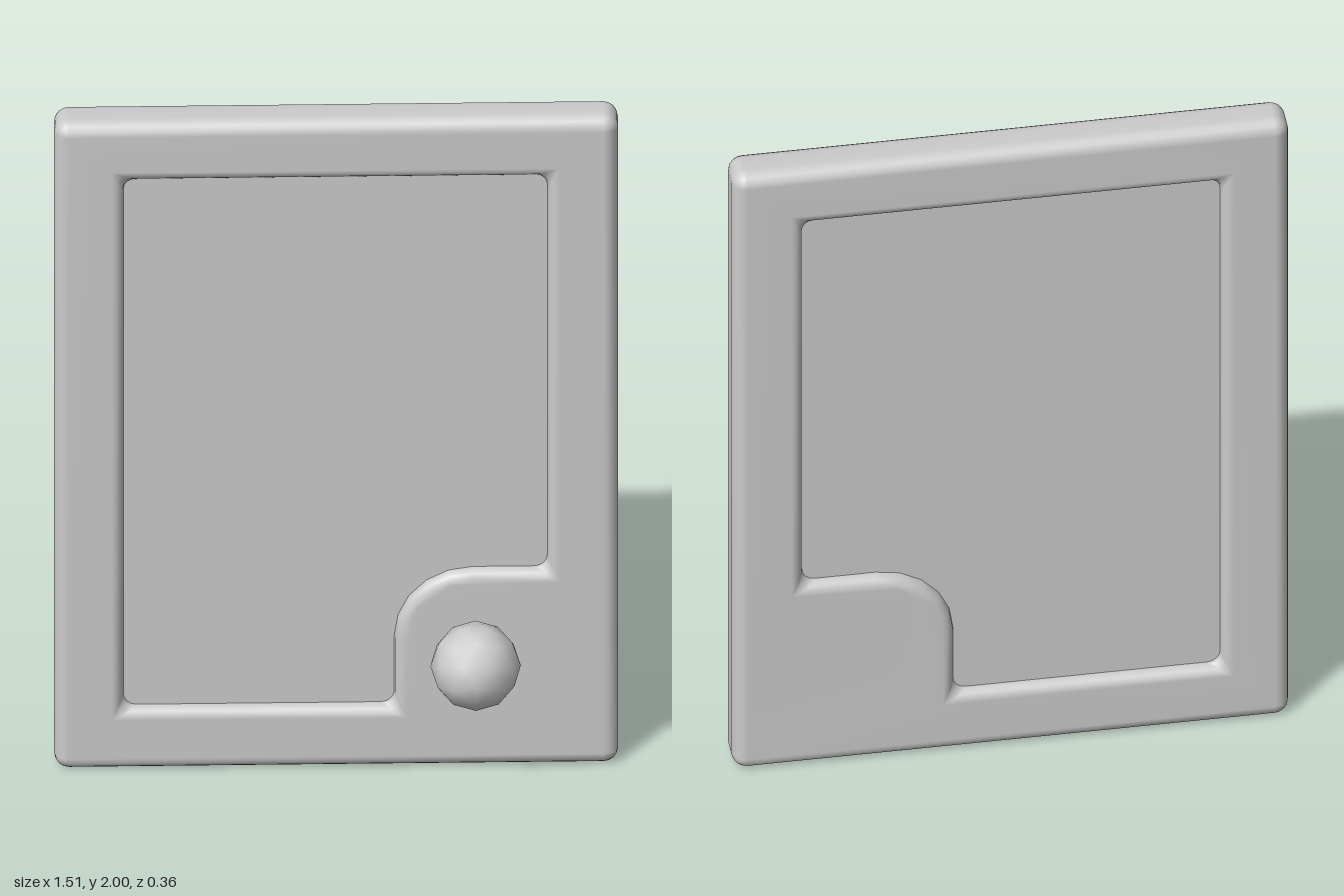
import * as THREE from 'three';
import { mergeGeometries, mergeVertices } from 'three/addons/utils/BufferGeometryUtils.js';

const HALF_DEPTH = 0.065, BEVEL = 0.04, ARC = 4, ROUND = 4;

// Rounded corner: an arc at mid depth that closes to one sharp point on the face.
function corner(x, y, sx, sy, r, shift) {
  const face = [x + sx * shift, y + sy * shift], pts = [];
  const mid = Math.atan2(sy, sx);
  for (let i = 0; i <= ARC; i++) {
    const a = mid + (i / ARC - 0.5) * Math.PI / 2;
    pts.push({ core: [x - sx * r + r * Math.cos(a), y - sy * r + r * Math.sin(a)], face });
  }
  return pts;
}

// Quarter-circle edge of the corner plate, running clockwise into the opening.
function plateArc(cx, cy, r, shift) {
  const pts = [];
  for (let i = 0; i <= 5; i++) {
    const a = Math.PI - (i / 5) * Math.PI / 2, c = Math.cos(a), s = Math.sin(a);
    pts.push({ core: [cx + r * c, cy + r * s], face: [cx + (r - shift) * c, cy + (r - shift) * s] });
  }
  return pts;
}

// Skin a loop through depth: rounded front edge, straight wall, rounded back edge.
function wall(loop, bevel, outward) {
  const rows = [];
  for (const side of [1, -1])
    for (let k = 0; k <= ROUND; k++) {
      const t = (side > 0 ? 1 - k / ROUND : k / ROUND) * Math.PI / 2;
      const f = 1 - Math.cos(t), z = side * (HALF_DEPTH - bevel + bevel * Math.sin(t));
      rows.push(loop.map(({ core, face }) =>
        [core[0] + (face[0] - core[0]) * f, core[1] + (face[1] - core[1]) * f, z]));
    }
  const n = loop.length, index = [];
  for (let r = 0; r < rows.length - 1; r++)
    for (let i = 0; i < n; i++) {
      const a = r * n + i, b = r * n + (i + 1) % n, c = a + n, d = b + n;
      if (outward) index.push(a, c, b, b, c, d);
      else index.push(a, b, c, b, d, c);
    }
  const g = new THREE.BufferGeometry();
  g.setAttribute('position', new THREE.Float32BufferAttribute(rows.flat(2), 3));
  g.setIndex(index);
  return g;
}

// Flat front or back face between the outer edge and the opening.
function cap(outer, hole, side) {
  const outline = loop => loop.map(p => p.face)
    .filter((p, i, all) => i === 0 || p !== all[i - 1])
    .map(p => new THREE.Vector2(...p));
  const shape = new THREE.Shape(outline(outer));
  shape.holes.push(new THREE.Path(outline(hole)));
  const g = new THREE.ShapeGeometry(shape);
  g.deleteAttribute('uv');
  g.deleteAttribute('normal');
  g.translate(0, 0, side * HALF_DEPTH);
  if (side < 0) g.index.array.reverse();
  return g;
}

function frameGeometry() {
  const outer = [[1, 1], [-1, 1], [-1, -1], [1, -1]].flatMap(([sx, sy]) =>
    corner(sx * 0.755, 1 + sy, sx, sy, BEVEL, -BEVEL));
  const b = 0.032, r = 0.035;
  const hole = [
    ...corner(0.565, 1.82, 1, 1, r, b),
    ...corner(-0.57, 1.82, -1, 1, r, b),
    ...corner(-0.57, 0.19, -1, -1, r, b),
    ...corner(0.155, 0.19, 1, -1, r, b),
    ...plateArc(0.365, 0.395, 0.21, b),
    ...corner(0.565, 0.605, 1, -1, r, b),
  ];
  const g = mergeVertices(mergeGeometries([
    wall(outer, BEVEL, true), wall(hole, b, false), cap(outer, hole, 1), cap(outer, hole, -1),
  ]), 1e-4);
  g.computeVertexNormals();
  return g;
}

export function createModel() {
  const model = new THREE.Group();
  const material = new THREE.MeshStandardMaterial({ color: 0xcccccc });
  const add = (name, geometry, x, y, z) => {
    const mesh = new THREE.Mesh(geometry, material);
    mesh.name = name;
    mesh.position.set(x, y, z);
    model.add(mesh);
    return mesh;
  };

  // Frame with rounded edges and a corner plate
  add('frame', frameGeometry(), 0, 0, -0.115);

  // Recessed panel, its rim buried in the frame
  add('panel', new THREE.BoxGeometry(1.18, 1.67, 0.066), 0, 1.005, -0.115);

  // Faceted ball knob with one vertex facing forward
  const knob = add('knob', new THREE.IcosahedronGeometry(0.121, 1), 0.37, 0.377, 0.055);
  knob.rotation.x = Math.atan(2 / (1 + Math.sqrt(5)));
  return model;
}
